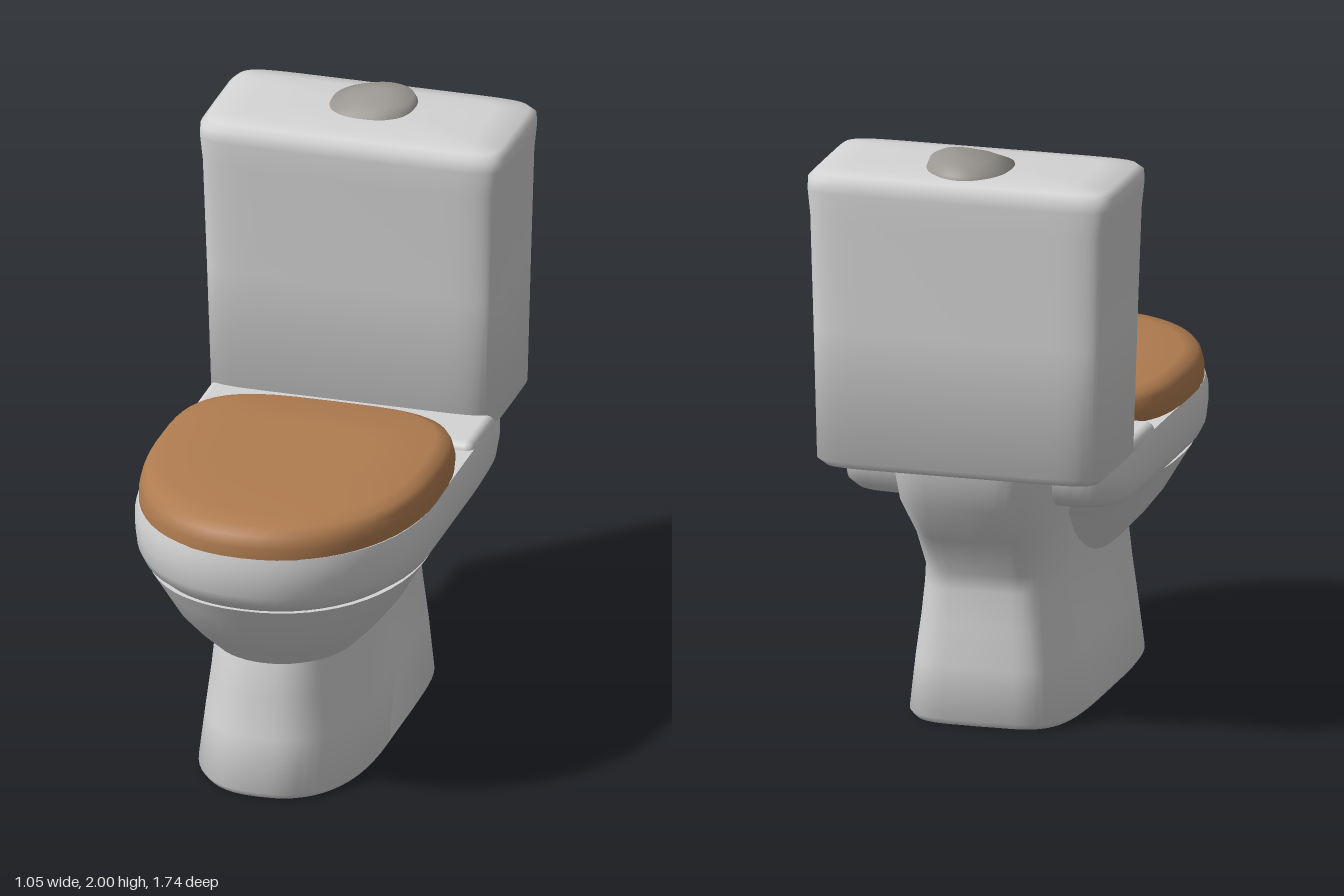
import * as THREE from 'three';
import { toCreasedNormals } from 'three/addons/utils/BufferGeometryUtils.js';
import { RoundedBoxGeometry } from 'three/addons/geometries/RoundedBoxGeometry.js';

const SIDES = 56;
const power = (v, n) => Math.sign(v) * Math.abs(v) ** (2 / n);

// Stacks horizontal rings. Row: [y, half width, front z, back z].
// mid is the z of greatest width; nf and nb set how square front and back are.
function loft(rows, { mid, nf, nb, waist = () => 1, crease = 0.9 }) {
  const pos = [], index = [];
  for (const [y, w, zf, zb] of rows) {
    for (let j = 0; j < SIDES; j++) {
      const t = (j / SIDES) * Math.PI * 2, s = Math.sin(t);
      const n = s > 0 ? nf : nb;
      const z = mid + power(s, n) * (s > 0 ? zf - mid : mid - zb);
      pos.push(w * power(Math.cos(t), n) * waist(y, z), y, z);
    }
  }
  for (let i = 0; i < rows.length - 1; i++) {
    for (let j = 0; j < SIDES; j++) {
      const k = (j + 1) % SIDES;
      const a = i * SIDES + j, b = i * SIDES + k, c = a + SIDES, d = b + SIDES;
      index.push(a, c, b, b, c, d);
    }
  }
  // End caps
  const last = (rows.length - 1) * SIDES, bottom = rows.length * SIDES;
  const first = rows[0], end = rows[rows.length - 1];
  pos.push(0, first[0], (first[2] + first[3]) / 2, 0, end[0], (end[2] + end[3]) / 2);
  for (let j = 0; j < SIDES; j++) {
    const k = (j + 1) % SIDES;
    index.push(bottom, j, k, bottom + 1, last + k, last + j);
  }
  const g = new THREE.BufferGeometry();
  g.setAttribute('position', new THREE.Float32BufferAttribute(pos, 3));
  g.setIndex(index);
  return toCreasedNormals(g, crease);
}

export function createModel() {
  const model = new THREE.Group();
  model.name = 'toilet';
  const material = (name, color) => {
    const m = new THREE.MeshStandardMaterial({ color });
    m.name = name;
    return m;
  };
  const porcelain = material('porcelain', 0xd4d4d4);
  const wood = material('wood', 0xb07c50);
  const grey = material('buttonGrey', 0x9a9792);
  const add = (name, geometry, mat) => {
    const mesh = new THREE.Mesh(geometry, mat);
    mesh.name = name;
    model.add(mesh);
    return mesh;
  };

  // Foot, rising into the neck that leans back under the tank
  add('pedestal', loft([
    [0, 0.285, 0.655, -0.575],
    [0.02, 0.3, 0.67, -0.59],
    [0.2, 0.28, 0.635, -0.585],
    [0.34, 0.262, 0.615, -0.575],
    [0.46, 0.25, 0.6, -0.565],
    [0.52, 0.245, 0.58, -0.57],
    [0.66, 0.25, 0.5, -0.68],
    [0.8, 0.28, 0.4, -0.8],
    [0.93, 0.3, 0.3, -0.825],
  ], {
    mid: 0.15, nf: 2.5, nb: 5,
    waist: (y, z) => 1 - 0.32 * Math.min(1, y / 0.35) * Math.exp(-(((z + 0.08) / 0.2) ** 2)),
  }), porcelain);

  // Bowl, with the rim carried back as a shelf for the tank
  add('bowl', loft([
    [0.4, 0.19, 0.54, -0.02],
    [0.46, 0.25, 0.6, -0.06],
    [0.53, 0.315, 0.68, -0.11],
    [0.6, 0.37, 0.75, -0.17],
    [0.7, 0.43, 0.81, -0.27],
    [0.75, 0.46, 0.84, -0.36],
  ], { mid: 0.25, nf: 2.2, nb: 2.6 }), porcelain);
  add('rim', loft([
    [0.745, 0.43, 0.82, -0.4],
    [0.775, 0.475, 0.85, -0.56],
    [0.81, 0.493, 0.863, -0.61],
    [0.87, 0.5, 0.872, -0.63],
    [0.92, 0.5, 0.872, -0.635],
    [0.955, 0.49, 0.866, -0.63],
  ], { mid: 0.28, nf: 2.15, nb: 9 }), porcelain);
  add('deck', new RoundedBoxGeometry(0.98, 0.12, 0.28, 3, 0.03), porcelain)
    .position.set(0, 0.92, -0.31);

  // Water tank
  add('tank', loft([
    [0.91, 0.4, -0.45, -0.78],
    [0.925, 0.47, -0.41, -0.835],
    [0.95, 0.497, -0.395, -0.855],
    [1.4, 0.508, -0.378, -0.86],
    [1.78, 0.518, -0.36, -0.866],
    [1.87, 0.527, -0.355, -0.868],
    [1.91, 0.526, -0.358, -0.866],
    [1.93, 0.505, -0.378, -0.85],
    [1.94, 0.4, -0.44, -0.79],
    [1.947, 0.2, -0.54, -0.69],
  ], { mid: -0.61, nf: 9, nb: 9 }), porcelain);

  // Seat cover
  add('seatCover', loft([
    [0.953, 0.492, 0.868, -0.22],
    [0.99, 0.492, 0.868, -0.248],
    [1.03, 0.482, 0.858, -0.24],
    [1.052, 0.472, 0.82, -0.225],
    [1.063, 0.43, 0.74, -0.2],
    [1.066, 0.25, 0.5, 0],
  ], { mid: 0.25, nf: 2.15, nb: 3.6 }), wood);

  // Flush button, its crown shifted to one side
  const button = loft([
    [1.93, 0.148, -0.515, -0.815],
    [1.95, 0.142, -0.52, -0.81],
    [1.975, 0.105, -0.56, -0.77],
    [1.99, 0.06, -0.6, -0.73],
    [2.0, 0.015, -0.65, -0.68],
  ], { mid: -0.665, nf: 2.6, nb: 2 });
  const p = button.attributes.position;
  for (let i = 0; i < p.count; i++) p.setX(i, p.getX(i) + 0.005 + Math.max(0, p.getY(i) - 1.95) * 1.1);
  add('flushButton', button, grey);

  return model;
}
